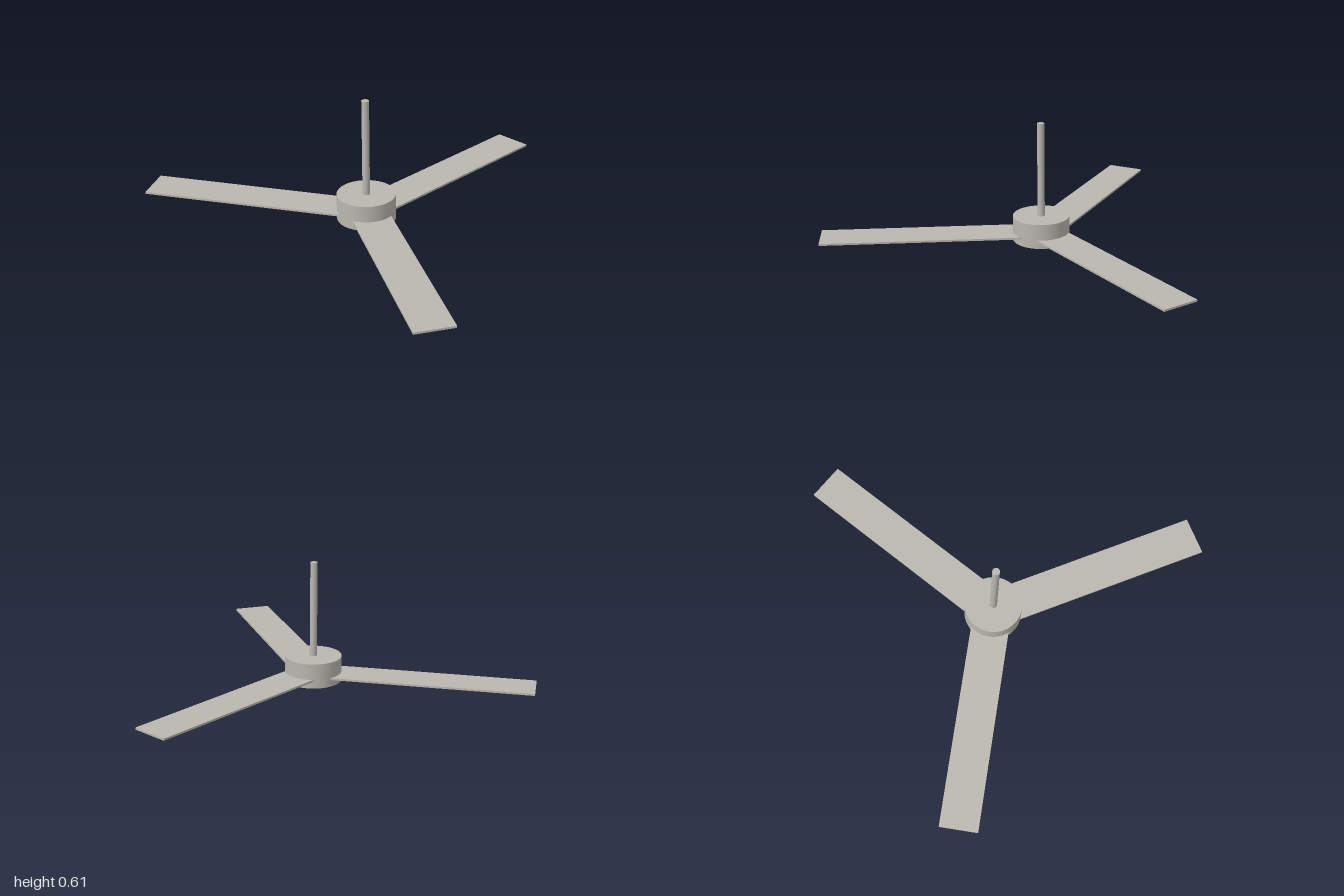
import * as THREE from 'three';

export function createModel() {
  const model = new THREE.Group();
  model.name = 'ceilingFan';
  const metal = new THREE.MeshStandardMaterial({ color: 0xbab7b0 });
  metal.name = 'warmGrey';

  const fan = new THREE.Group();
  fan.name = 'fan';
  fan.position.x = -0.235; // hub axis, offset so the whole span is centred
  model.add(fan);

  const add = (name, geometry, y, parent = fan) => {
    const mesh = new THREE.Mesh(geometry, metal);
    mesh.name = name;
    mesh.position.y = y;
    parent.add(mesh);
    return mesh;
  };

  // Motor housing and hanging rod
  const hubHeight = 0.126, top = 0.606;
  add('motorHousing', new THREE.CylinderGeometry(0.142, 0.142, hubHeight, 48), hubHeight / 2);
  add('downrod', new THREE.CylinderGeometry(0.018, 0.018, top - hubHeight, 24), (top + hubHeight) / 2);

  // Three flat blades, rooted inside the housing
  const inner = 0.1, outer = 1.1;
  const bladeGeometry = new THREE.BoxGeometry(outer - inner, 0.01, 0.188);
  for (let i = 0; i < 3; i++) {
    const arm = new THREE.Group();
    arm.name = `bladeArm${i + 1}`;
    arm.rotation.y = (i * Math.PI * 2) / 3;
    fan.add(arm);
    add('blade', bladeGeometry, 0.04, arm).position.x = (inner + outer) / 2;
  }

  return model;
}
